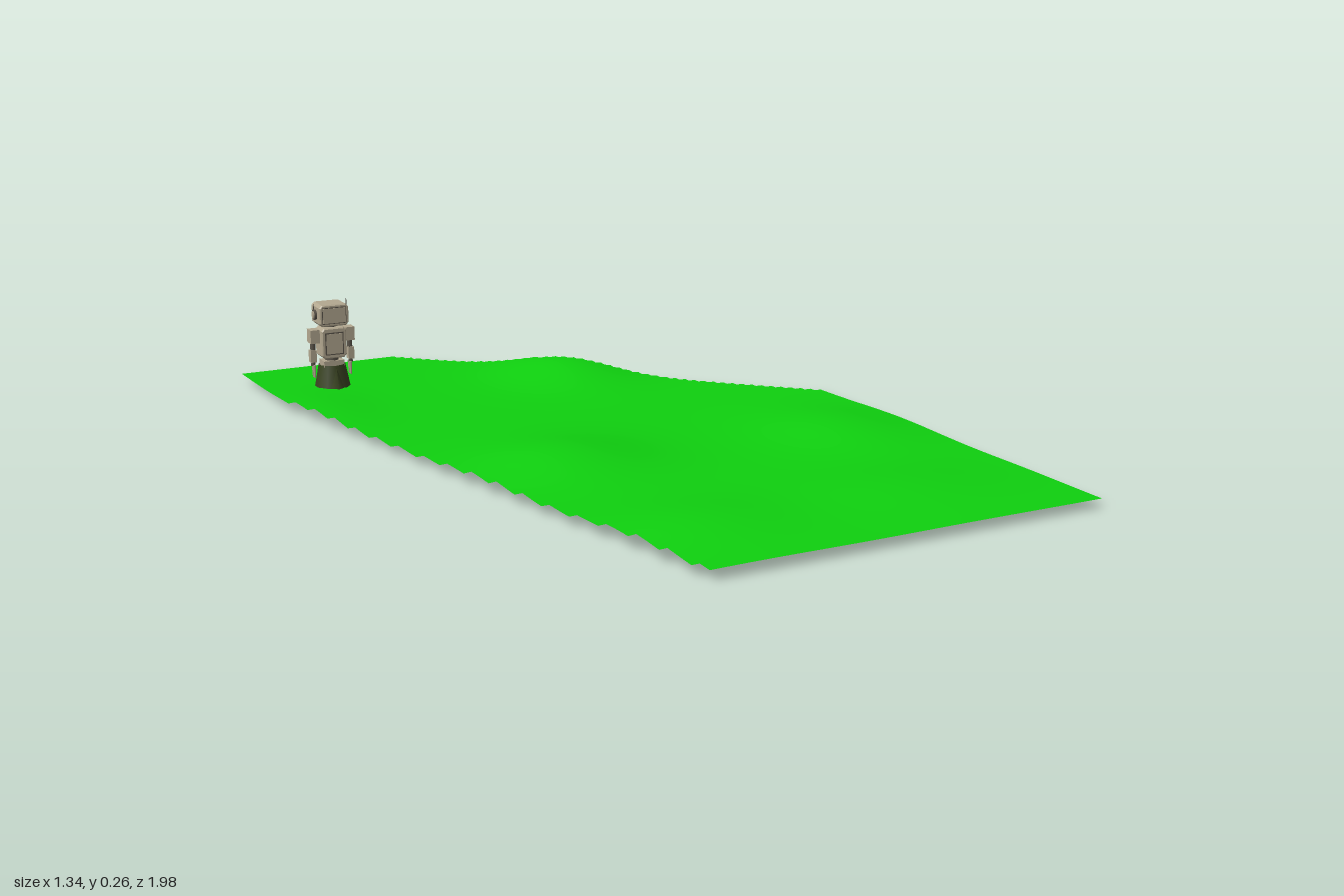
import * as THREE from 'three';

const mat = (name, color, side = THREE.FrontSide) => {
  const m = new THREE.MeshStandardMaterial({ color, side });
  m.name = name;
  return m;
};

// Rolling ground height: low base with a few soft hills [x, z, height, radiusX, radiusZ]
const hills = [
  [-0.25, 0.2, 0.033, 0.2, 0.2], [0.12, -0.58, 0.041, 0.17, 0.2],
  [0.47, 0.25, 0.025, 0.18, 0.22], [-0.2, 0.75, 0.022, 0.22, 0.17],
  [0.3, 0.72, 0.018, 0.25, 0.17], [-0.6, -0.5, 0.012, 0.12, 0.2],
];
const height = (x, z) => hills.reduce((y, [cx, cz, h, rx, rz]) =>
  y + h * Math.exp(-(((x - cx) / rx) ** 2) - ((z - cz) / rz) ** 2), 0.021);

// Slightly turned grid, with two corners cut off along stepped diagonals
function buildGround(material) {
  const nu = 70, nv = 104, turn = 0.022, pos = [], index = [];
  const at = (i, j) => {
    const u = -0.65 + (1.3 * i) / nu, v = -0.99 + (1.98 * j) / nv;
    return [u + turn * v, v - turn * u];
  };
  for (let j = 0; j <= nv; j++) for (let i = 0; i <= nu; i++) {
    const [x, z] = at(i, j);
    pos.push(x, height(x, z), z);
  }
  for (let j = 0; j < nv; j++) for (let i = 0; i < nu; i++) {
    const [x, z] = at(i + 0.5, j + 0.5);
    if (x > -0.25 + (z + 1) * 0.989 || x < -0.53 + z * 0.215) continue;
    const a = j * (nu + 1) + i, b = a + 1, c = a + nu + 1, d = c + 1;
    index.push(a, c, b, b, c, d);
  }
  const g = new THREE.BufferGeometry();
  g.setAttribute('position', new THREE.Float32BufferAttribute(pos, 3));
  g.setIndex(index);
  g.computeVertexNormals();
  const mesh = new THREE.Mesh(g, material);
  mesh.name = 'ground';
  return mesh;
}

export function createModel() {
  const grass = mat('grass green', 0x0fd00f, THREE.DoubleSide);
  const shell = mat('warm grey shell', 0xb3a890);
  const joint = mat('dark joints', 0x5a544a);
  const moss = mat('dark moss', 0x3a4422, THREE.DoubleSide);

  const model = new THREE.Group();
  model.name = 'robotOnHills';
  model.add(buildGround(grass));

  const robot = new THREE.Group();
  robot.name = 'robot';
  robot.position.set(-0.492, 0, -0.735);
  model.add(robot);

  const add = (name, geometry, material, x, y, z) => {
    const mesh = new THREE.Mesh(geometry, material);
    mesh.name = name;
    mesh.position.set(x, y, z);
    robot.add(mesh);
    return mesh;
  };
  const box = (name, m, w, h, d, x, y, z) => add(name, new THREE.BoxGeometry(w, h, d), m, x, y, z);
  const rod = (name, m, rt, rb, h, x, y, z, sides = 12) =>
    add(name, new THREE.CylinderGeometry(rt, rb, h, sides), m, x, y, z);

  // Rounded slab shape used for head and torso
  const block = (name, w, h, d, x, y, z) => {
    const r = 0.006, b = 0.003, s = new THREE.Shape();
    const p = w / 2 - b, q = h / 2 - b;
    s.moveTo(-p + r, -q).lineTo(p - r, -q).lineTo(p, -q + r).lineTo(p, q - r);
    s.lineTo(p - r, q).lineTo(-p + r, q).lineTo(-p, q - r).lineTo(-p, -q + r);
    const g = new THREE.ExtrudeGeometry(s, { depth: d - 2 * b, bevelThickness: b, bevelSize: b, bevelSegments: 1 });
    g.translate(0, 0, b - d / 2);
    return add(name, g, shell, x, y, z);
  };

  // Head and neck
  block('head', 0.08, 0.058, 0.068, 0, 0.219, 0);
  box('facePlateEdge', joint, 0.066, 0.044, 0.004, 0, 0.219, 0.033);
  box('facePlate', shell, 0.062, 0.04, 0.004, 0, 0.219, 0.0345);
  rod('neck', joint, 0.014, 0.014, 0.012, 0, 0.187, 0);

  // Torso with chest panel, back pack and waist
  block('torso', 0.068, 0.082, 0.055, 0, 0.143, 0);
  box('chestPanelEdge', joint, 0.05, 0.06, 0.004, 0, 0.142, 0.0275);
  box('chestPanel', shell, 0.044, 0.054, 0.004, 0, 0.142, 0.029);
  box('backPanel', joint, 0.044, 0.045, 0.006, 0, 0.145, -0.029);
  rod('waist', joint, 0.018, 0.018, 0.014, 0, 0.096, 0);
  box('hips', shell, 0.056, 0.02, 0.042, 0, 0.084, 0);

  for (const s of [1, -1]) {
    // Ear discs and antennas
    rod('earRing', joint, 0.014, 0.014, 0.008, s * 0.042, 0.219, 0).rotation.z = Math.PI / 2;
    rod('ear', shell, 0.01, 0.01, 0.01, s * 0.043, 0.219, 0).rotation.z = Math.PI / 2;
    rod('antenna', joint, 0.001, 0.0015, s > 0 ? 0.04 : 0.028, s * 0.045, s > 0 ? 0.236 : 0.234, 0, 6);
    // Arms
    box('shoulder', shell, 0.025, 0.036, 0.032, s * 0.048, 0.162, 0);
    rod('upperArm', joint, 0.007, 0.007, 0.025, s * 0.051, 0.135, 0);
    box('forearm', shell, 0.016, 0.032, 0.02, s * 0.052, 0.108, 0);
    rod('wrist', joint, 0.006, 0.006, 0.012, s * 0.052, 0.088, 0);
    for (const z of [-0.006, 0.006])
      rod('finger', shell, 0.004, 0.002, 0.035, s * 0.05, 0.067, z, 6);
    // Legs and feet
    rod('leg', joint, 0.01, 0.01, 0.06, s * 0.02, 0.047, 0);
    rod('foot', shell, 0.011, 0.015, 0.022, s * 0.022, 0.011, 0);
  }

  // Mossy clump around the legs, open at the bottom
  const clump = new THREE.CylinderGeometry(0.035, 0.047, 0.061, 10, 1, true);
  add('mossClump', clump, moss, 0, 0.0525, 0);
  for (const [i, z] of [0.038, -0.038].entries())
    add('mossTuft', new THREE.ConeGeometry(0.018, 0.055, 5), moss, i ? 0.014 : 0, 0.05, z);

  // Small flying insect behind the shoulder
  const body = add('insectBody', new THREE.SphereGeometry(0.004, 8, 6), joint, 0.045, 0.136, -0.08);
  body.scale.set(1, 1, 1.7);
  for (const s of [1, -1])
    box('insectWing', joint, 0.009, 0.002, 0.006, 0.045 + s * 0.006, 0.139, -0.08).rotation.z = s * 0.5;

  return model;
}
